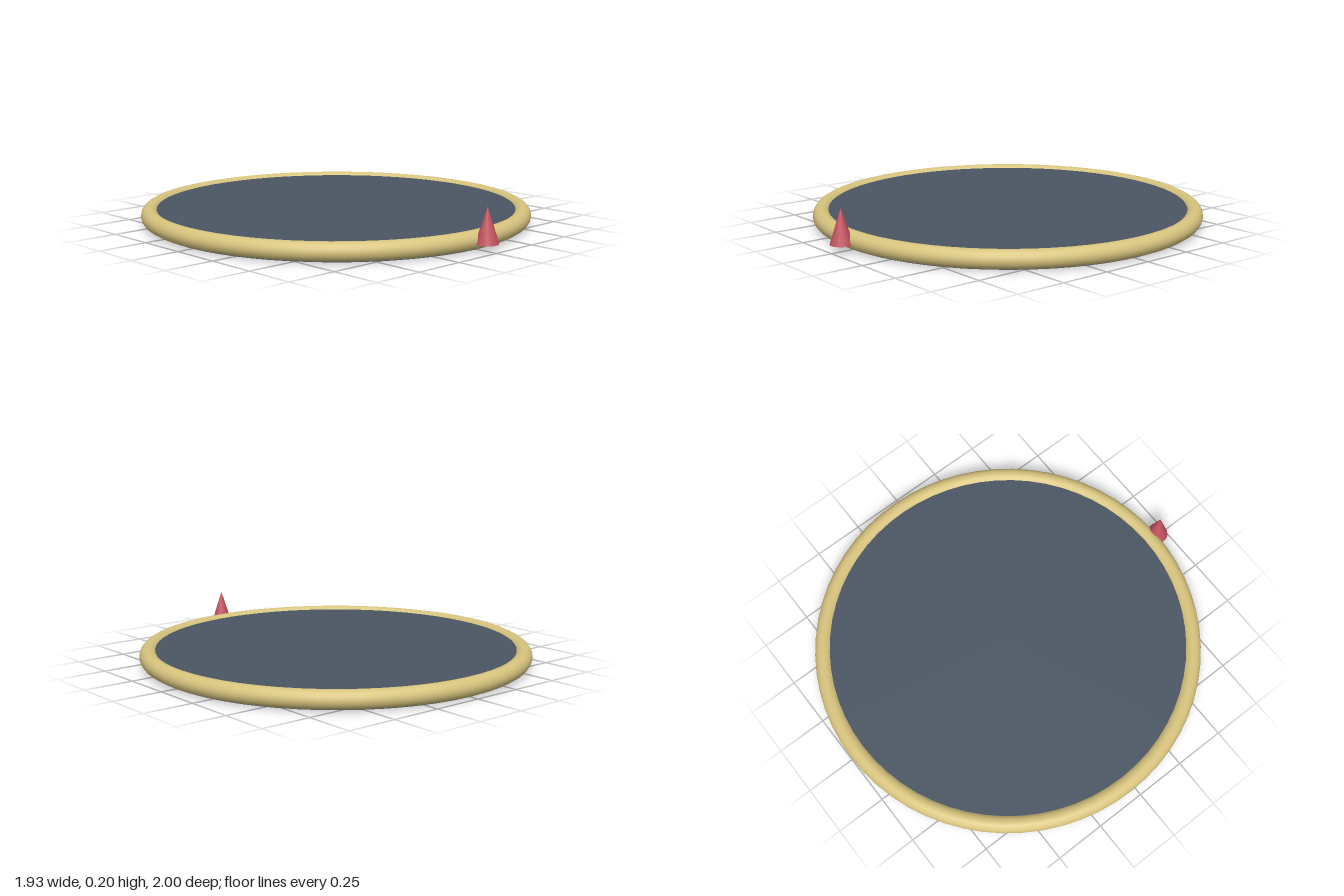
import * as THREE from 'three';

const mat = (name, color) => {
  const m = new THREE.MeshStandardMaterial({ color });
  m.name = name;
  return m;
};

export function createModel() {
  const group = new THREE.Group();
  const slate = mat('slate', 0x4a5663);
  const gold = mat('gold', 0xd8c47e);
  const red = mat('red', 0xc4525f);

  const add = (name, geometry, material, y, z) => {
    const mesh = new THREE.Mesh(geometry, material);
    mesh.name = name;
    mesh.position.set(0, y, z);
    group.add(mesh);
  };

  const centreZ = -0.034;

  // Flat round platform, its edge buried in the rim
  add('platform', new THREE.CylinderGeometry(0.919, 0.919, 0.078, 64), slate, 0.039, centreZ);

  // Rounded rim
  const rim = new THREE.TorusGeometry(0.922, 0.044, 16, 64).rotateX(Math.PI / 2);
  add('rim', rim, gold, 0.049, centreZ);

  // Pointer cone at the front edge
  add('pointer', new THREE.ConeGeometry(0.055, 0.17, 16), red, 0.12, 0.945);

  return group;
}
